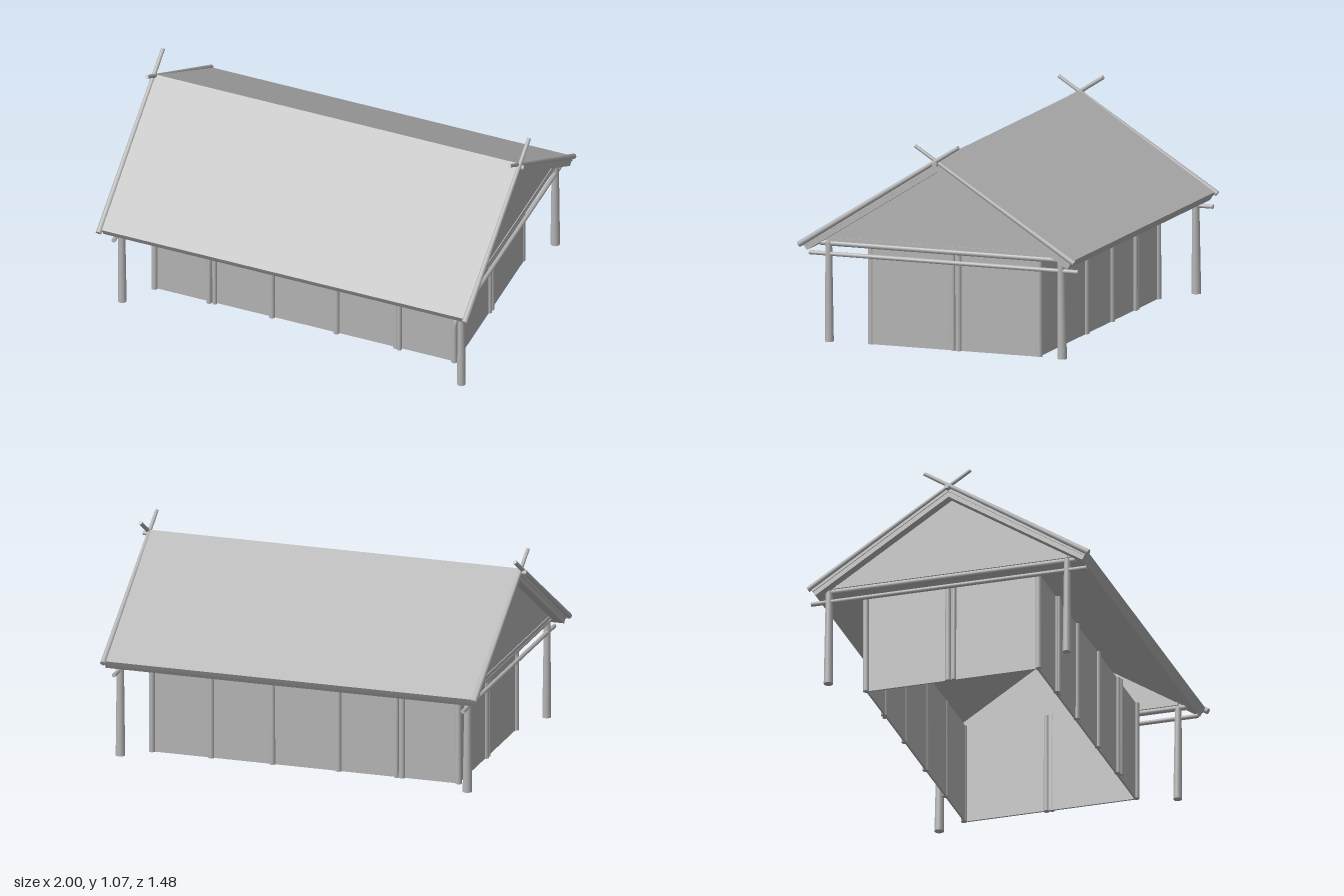
import * as THREE from 'three';

export function createModel() {
  const model = new THREE.Group();
  const timber = new THREE.MeshStandardMaterial({ color: 0xb4b4b4 });
  timber.name = 'plain grey';

  const add = (name, geometry) => {
    const mesh = new THREE.Mesh(geometry, timber);
    mesh.name = name;
    model.add(mesh);
    return mesh;
  };

  // round timber running between two points, optionally tapered
  const pole = (name, from, to, r0, r1 = r0) => {
    const a = new THREE.Vector3(...from), b = new THREE.Vector3(...to);
    const mesh = add(name, new THREE.CylinderGeometry(r1, r0, a.distanceTo(b), 12));
    mesh.position.copy(a).add(b).multiplyScalar(0.5);
    mesh.quaternion.setFromUnitVectors(new THREE.Vector3(0, 1, 0), b.sub(a).normalize());
  };

  // cross-section in z and y, extruded along x and centred at x
  const section = (name, points, length, x = 0) => {
    const shape = new THREE.Shape(points.map(([z, y]) => new THREE.Vector2(z, y)));
    const g = new THREE.ExtrudeGeometry(shape, { depth: length, bevelEnabled: false });
    g.translate(0, 0, -length / 2).rotateY(-Math.PI / 2).translate(x, 0, 0);
    add(name, g);
  };

  const box = (name, sx, sy, sz, x, y, z) =>
    add(name, new THREE.BoxGeometry(sx, sy, sz)).position.set(x, y, z);

  // two-layer pitched roof with square-cut eaves
  const roofLayer = (name, top, bottom, eaveTop, eaveBottom, length) => section(name, [
    [0, top], [-eaveTop[0], eaveTop[1]], [-eaveBottom[0], eaveBottom[1]],
    [0, bottom], [eaveBottom[0], eaveBottom[1]], [eaveTop[0], eaveTop[1]],
  ], length);
  roofLayer('roofCovering', 0.987, 0.952, [0.72, 0.527], [0.705, 0.503], 1.94);
  roofLayer('roofLining', 0.952, 0.925, [0.705, 0.503], [0.692, 0.484], 1.93);
  pole('ridgePole', [-1, 0.968, 0], [1, 0.968, 0], 0.012);

  // gable ends, crossed rafters, tie beams and corner posts
  for (const s of [-1, 1]) {
    section('gablePanel', [[0, 0.928], [-0.62, 0.53], [0.62, 0.53]], 0.01, s * 0.91);
    box('gableSill', 0.03, 0.018, 1.2, s * 0.905, 0.537, 0);
    pole('crossedRafter', [s * 0.977, 0.513, 0.73], [s * 0.977, 1.06, -0.12], 0.015, 0.01);
    pole('crossedRafter', [s * 0.968, 0.518, -0.73], [s * 0.968, 1.052, 0.115], 0.014, 0.009);
    pole('upperTieBeam', [s * 0.905, 0.516, 0.64], [s * 0.905, 0.516, -0.66], 0.014);
    pole('lowerTieBeam', [s * 0.91, 0.463, 0.7], [s * 0.91, 0.463, -0.73], 0.011);
    pole('cornerPost', [s * 0.905, 0.02, 0.595], [s * 0.907, 0.525, 0.598], 0.022, 0.017);
    pole('cornerPost', [s * 0.905, 0.02, -0.643], [s * 0.907, 0.525, -0.638], 0.024, 0.018);
  }

  // thin walls, open below and above
  const front = 0.41, back = -0.475, side = 0.8, height = 0.52;
  for (const z of [front, back])
    box('longWall', 2 * side, height, 0.01, 0, height / 2, z);
  for (const s of [-1, 1])
    box('endWall', 0.01, height, front - back, s * side, height / 2, (front + back) / 2);

  // wall posts standing against the outside
  const wallPost = (x, z) => pole('wallPost', [x, 0, z], [x, height, z], 0.016, 0.015);
  for (const x of [-0.805, -0.51, -0.178, 0.167, 0.486, 0.795]) {
    wallPost(x, front + 0.006);
    wallPost(x, back - 0.004);
  }
  for (const s of [-1, 1]) {
    pole('bracePost', [s * 0.508 - 0.002, 0, front + 0.016], [s * 0.508, height, front + 0.016], 0.012);
    wallPost(s * (side + 0.004), -0.053);
    pole('bracePost', [s * (side + 0.006), 0, -0.024], [s * (side + 0.006), height, -0.022], 0.012);
  }
  pole('bracePost', [-0.482, 0, front + 0.01], [-0.484, height, front + 0.01], 0.012);
  pole('bracePost', [-0.482, 0, back - 0.01], [-0.484, height, back - 0.01], 0.012);

  return model;
}
